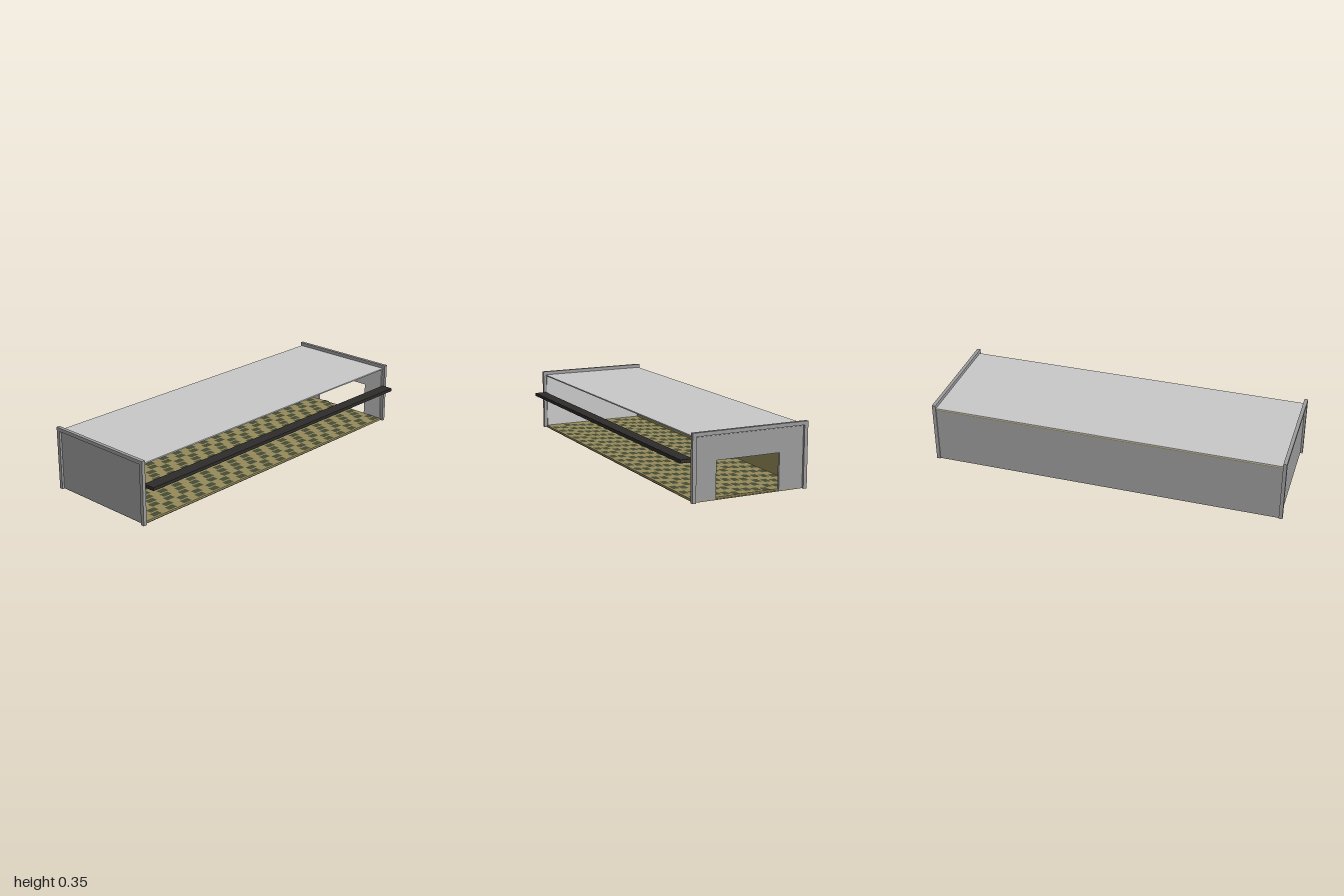
import * as THREE from 'three';
import { mergeGeometries } from 'three/addons/utils/BufferGeometryUtils.js';

const mat = (name, color) => {
  const m = new THREE.MeshStandardMaterial({ color });
  m.name = name;
  return m;
};

export function createModel() {
  const group = new THREE.Group();
  const grey = mat('wallGrey', 0x9c9c9c);
  const light = mat('roofGrey', 0xc8c8c8);
  const khaki = mat('khakiBoard', 0x968a5a);
  const dark = mat('counterBlack', 0x2e2c2b);
  const green = mat('darkOlive', 0x464b34);

  // box given by its minimum and maximum on each axis
  const box = (name, material, x0, x1, y0, y1, z0, z1, parent = group) => {
    const mesh = new THREE.Mesh(new THREE.BoxGeometry(x1 - x0, y1 - y0, z1 - z0), material);
    mesh.position.set((x0 + x1) / 2, (y0 + y1) / 2, (z0 + z1) / 2);
    mesh.name = name;
    parent.add(mesh);
    return mesh;
  };

  // roof, solid left-hand wall and its inner lining
  box('roof', light, -0.355, 0.29, 0.328, 0.335, -0.985, 0.985);
  box('sideWall', grey, -0.355, -0.35, 0, 0.322, -0.98, 0.98);
  box('wallLining', khaki, -0.35, -0.34, 0.005, 0.328, -0.975, 0.975);
  box('wallTopStrip', khaki, -0.355, -0.35, 0.322, 0.328, -0.98, 0.98);

  // floor boards and the ground sheet under them
  box('floor', khaki, -0.35, 0.29, 0.005, 0.013, -0.98, 0.98);
  box('groundSheet', green, -0.35, 0.29, 0, 0.005, -0.78, 0.985);
  box('groundSheetEnd', khaki, -0.35, 0.29, 0, 0.005, -0.985, -0.78);

  // stepped dark patches laid in slanting rows across the floor
  const patches = [];
  for (let row = 0; row < 18; row++) {
    for (let i = 0; i < 14; i++) {
      const x = -0.315 + i * 0.0445;
      const z = -0.93 + row * 0.107 + (i % 4) * 0.018 - 0.027;
      const g = new THREE.PlaneGeometry(0.036, 0.055);
      g.rotateX(-Math.PI / 2);
      g.translate(x, 0.0145, z);
      patches.push(g);
    }
  }
  const pattern = new THREE.Mesh(mergeGeometries(patches), green);
  pattern.name = 'floorPatches';
  group.add(pattern);

  // end panel outline, with a doorway cut from the bottom edge if wanted
  const panel = (name, material, door, z, depth) => {
    const pts = [[-0.345, 0.005], [-0.345, 0.33], [0.285, 0.33], [0.285, 0.005]];
    if (door) pts.push([0.165, 0.005], [0.165, 0.203], [-0.2, 0.203], [-0.2, 0.005]);
    const shape = new THREE.Shape(pts.map(([x, y]) => new THREE.Vector2(x, y)));
    const mesh = new THREE.Mesh(
      new THREE.ExtrudeGeometry(shape, { depth, bevelEnabled: false }), material);
    mesh.position.z = z;
    mesh.name = name;
    group.add(mesh);
  };
  panel('frontPanel', grey, false, 0.98, 0.008);
  panel('frontPanelLining', light, false, 0.974, 0.006);
  panel('backPanel', grey, true, -0.988, 0.008);
  panel('backPanelLining', light, true, -0.98, 0.006);

  // raised frames round the two ends
  for (const [name, z0] of [['frontFrame', 0.98], ['backFrame', -1]]) {
    const frame = new THREE.Group();
    frame.name = name;
    box('leftPost', grey, 0.283, 0.304, 0, 0.355, z0, z0 + 0.02, frame);
    box('rightPost', grey, -0.361, -0.34, 0, 0.355, z0, z0 + 0.02, frame);
    box('topRail', grey, -0.34, 0.283, 0.335, 0.355, z0, z0 + 0.02, frame);
    group.add(frame);
  }

  // counter along the open side
  box('counter', dark, 0.293, 0.361, 0.207, 0.225, -0.98, 0.98);
  return group;
}
